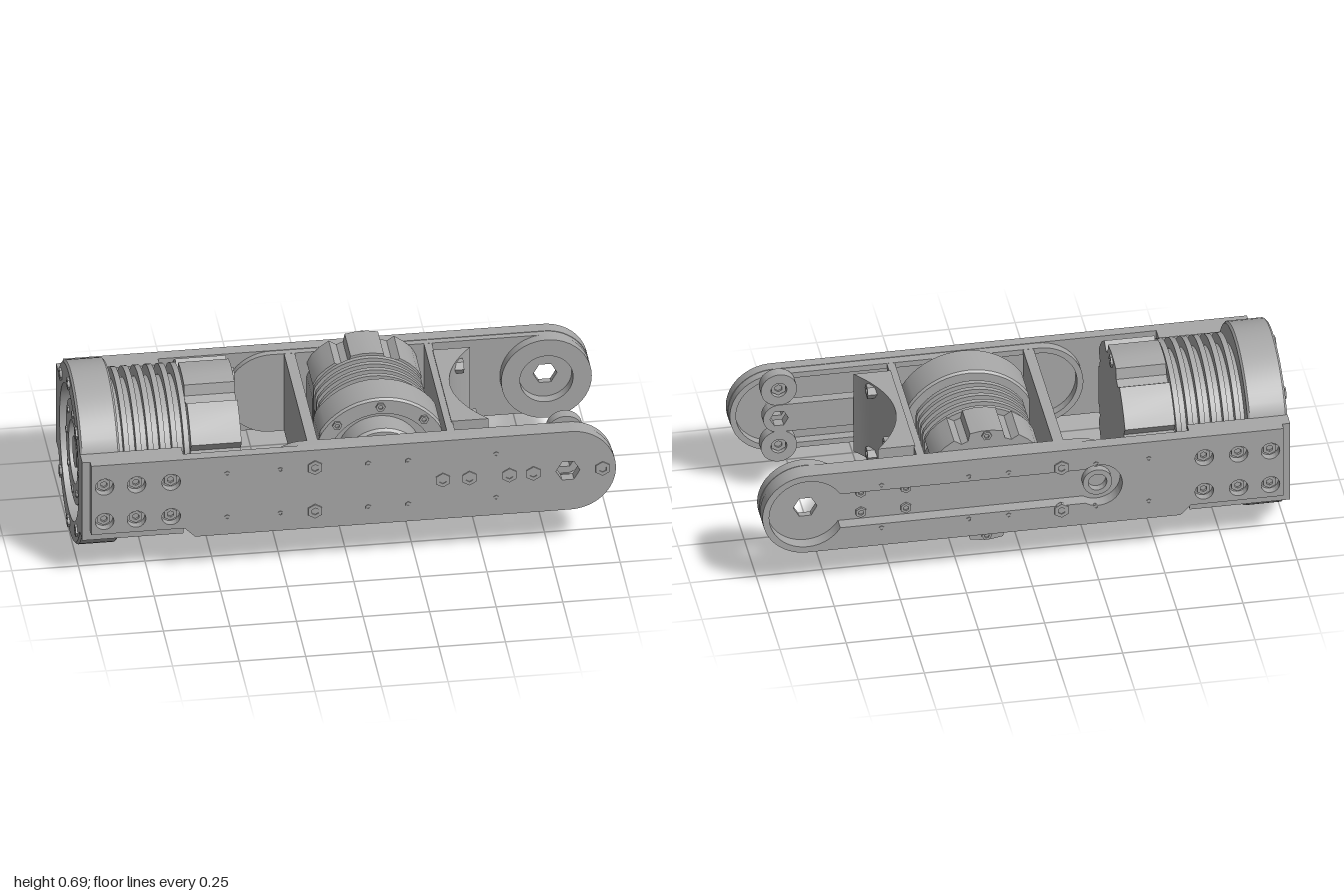
import * as THREE from 'three';
import { toCreasedNormals } from 'three/addons/utils/BufferGeometryUtils.js';

const grey = new THREE.MeshStandardMaterial({ color: 0xa8a8a8 });
grey.name = 'machined grey';
const CY = 0.345; // height of the main axis
const V = (x, y) => new THREE.Vector2(x, y);

function add(parent, name, geo, crease = 0.6) {
  const mesh = new THREE.Mesh(toCreasedNormals(geo, crease), grey);
  mesh.name = name;
  parent.add(mesh);
  return mesh;
}

// Turned part about y, with both z sides milled flat
function turned(points, flat = 9, segments = 56) {
  const geo = new THREE.LatheGeometry(points.map(p => V(...p)), segments);
  const p = geo.attributes.position;
  for (let i = 0; i < p.count; i++) p.setZ(i, THREE.MathUtils.clamp(p.getZ(i), -flat, flat));
  return geo;
}

// Hex bolt with a socket, pointing along dir
function bolt(parent, r, h, pos, dir) {
  const geo = turned([[r, -0.01], [r, h], [r * 0.5, h], [r * 0.5, h * 0.2], [0, h * 0.2]], 9, 6);
  const mesh = add(parent, 'bolt', geo, 0.3);
  mesh.position.set(...pos);
  mesh.quaternion.setFromUnitVectors(new THREE.Vector3(0, 1, 0), new THREE.Vector3(...dir));
}

function slab(parent, name, shape, z0, z1) {
  const geo = new THREE.ExtrudeGeometry(shape, { depth: z1 - z0, bevelEnabled: false, curveSegments: 24 });
  return add(parent, name, geo.translate(0, 0, z0));
}

const hole = (x, y, r) => new THREE.Path().absarc(x, y, r, 0, Math.PI * 2, true);
const hexHole = (x, y, r) => new THREE.Path(
  Array.from({ length: 6 }, (_, i) => V(x + r * Math.cos(i * Math.PI / 3), y + r * Math.sin(i * Math.PI / 3))));

// Straight bar with round ends
function capsule(x0, x1, r, Type = THREE.Shape) {
  return new Type().absarc(x1, CY, r, -Math.PI / 2, Math.PI / 2, false)
    .absarc(x0, CY, r, Math.PI / 2, Math.PI * 1.5, false);
}

// Motor along +y, output face at y = 0
function motor(name, R, flat, flange, fins, cap) {
  const g = new THREE.Group();
  g.name = name;
  const k = R / 0.345;
  add(g, 'outputFlange', turned([[0, 0.02], [0.06 * k, 0.02], [0.06 * k, 0.045], [0.12 * k, 0.045],
    [0.12 * k, 0.015], [0.2 * k, 0.015], [0.2 * k, 0.05], [0.26 * k, 0.05], [0.26 * k, 0],
    [R - 0.008, 0], [R, 0.008], [R, flange - 0.008], [R - 0.008, flange], [0, flange]], flat + 0.025));
  for (let i = 0; i < 8; i++) {
    const a = i * Math.PI / 4;
    const z = Math.sin(a) * R * 0.87;
    if (Math.abs(z) < flat) bolt(g, 0.024 * k, 0.008, [Math.cos(a) * R * 0.87, 0, z], [0, -1, 0]);
    bolt(g, 0.014 * k, 0.006, [Math.cos(a) * R * 0.47, 0.015, Math.sin(a) * R * 0.47], [0, -1, 0]);
  }

  // Cooling fins
  const core = R * 0.77, rim = R * 0.89, n = Math.round(fins / 0.042), pitch = fins / n;
  const profile = [[core, flange - 0.01]];
  for (let i = 0; i < n; i++) {
    const y = flange + i * pitch;
    profile.push([core, y + pitch * 0.45], [rim, y + pitch * 0.45], [rim, y + pitch * 0.9], [core, y + pitch * 0.9]);
  }
  const end = flange + fins + cap;
  profile.push([core, end - 0.012], [0, end - 0.012]);
  add(g, 'coolingFins', turned(profile, flat));

  // Notched rear cap
  const pts = [];
  for (let i = 0; i < 8; i++) {
    for (const [t, r] of [[-0.42, 0.81], [-0.33, 0.92], [-0.11, 0.92], [0.11, 0.92], [0.33, 0.92], [0.42, 0.81]]) {
      const a = (i + t) * Math.PI / 4;
      pts.push(V(Math.cos(a) * r * R, THREE.MathUtils.clamp(Math.sin(a) * r * R, -flat, flat)));
    }
  }
  const capGeo = new THREE.ExtrudeGeometry(new THREE.Shape(pts), { depth: cap, bevelEnabled: false });
  add(g, 'rearCap', capGeo.rotateX(-Math.PI / 2).translate(0, flange + fins, 0));
  for (const s of [-1, 1]) bolt(g, 0.025 * k, 0.008, [s * R * 0.84, end, 0], [0, 1, 0]);
  return g;
}

function plateOutline() {
  const s = new THREE.Shape();
  s.moveTo(-0.97, 0.215).lineTo(-0.62, 0.215).lineTo(-0.58, 0.175).lineTo(0.83, 0.175);
  s.absarc(0.83, CY, 0.17, -Math.PI / 2, Math.PI / 2, false);
  s.lineTo(-0.97, 0.515);
  return s;
}

// Details shared by both side plates; s is the side in z
function mountDetails(g, s) {
  const pad = add(g, 'mountingPad', new THREE.BoxGeometry(0.38, 0.34, 0.06));
  pad.position.set(-0.81, CY, s * 0.325);
  for (const x of [-0.92, -0.8, -0.67])
    for (const y of [0.27, 0.42]) bolt(g, 0.027, 0.012, [x, y, s * 0.355], [0, 0, s]);
  for (const x of [-0.46, -0.26, 0.07, 0.22, 0.55])
    for (const y of [0.25, 0.44]) bolt(g, 0.011, 0.003, [x, y, s * 0.385], [0, 0, s]);
  for (const y of [0.25, 0.44]) bolt(g, 0.03, 0.006, [-0.13, y, s * 0.385], [0, 0, s]);
}
const mountHoles = () => [-0.92, -0.8, -0.67].flatMap(x => [0.27, 0.42].map(y => hole(x, y, 0.035)));

export function createModel() {
  const model = new THREE.Group();
  model.name = 'robotArmLink';

  // Large motor along x, small motor along z
  const big = motor('largeMotor', 0.345, 0.28, 0.15, 0.27, 0.19);
  big.rotation.z = -Math.PI / 2;
  big.position.set(-1, CY, 0);
  model.add(big);

  const small = motor('smallMotor', 0.265, 0.205, 0.15, 0.21, 0.16);
  small.applyMatrix4(new THREE.Matrix4().makeBasis(
    new THREE.Vector3(0, -1, 0), new THREE.Vector3(0, 0, -1), new THREE.Vector3(1, 0, 0))
    .setPosition(0.14, CY, 0.21));
  add(small, 'outputHub', turned([[0, -0.05], [0.15, -0.05], [0.16, -0.04], [0.16, 0.05], [0, 0.05]]));
  model.add(small);

  // Front side plate with inner rim
  const front = new THREE.Group();
  front.name = 'frontSidePlate';
  const skin = plateOutline();
  skin.holes.push(...mountHoles(), hexHole(0.82, CY, 0.045));
  slab(front, 'frontSkin', skin, 0.345, 0.385);
  const rim = capsule(-0.17, 0.83, 0.168);
  rim.holes.push(capsule(-0.17, 0.83, 0.145, THREE.Path));
  slab(front, 'frontRim', rim, 0.31, 0.345);
  mountDetails(front, 1);
  for (const x of [0.35, 0.45, 0.6, 0.69, 0.95]) bolt(front, 0.03, 0.005, [x, CY, 0.385], [0, 0, 1]);
  model.add(front);

  // Rear side plate: keyhole recess outside, round joint boss inside
  const rear = new THREE.Group();
  rear.name = 'rearSidePlate';
  const outer = plateOutline();
  const big0 = Math.PI - Math.asin(0.075 / 0.145), small0 = Math.asin(0.075 / 0.09);
  outer.holes.push(...mountHoles(), new THREE.Path()
    .absarc(0.83, CY, 0.145, -big0, big0, false)
    .absarc(-0.27, CY, 0.09, small0, Math.PI * 2 - small0, false));
  slab(rear, 'rearSkin', outer, -0.385, -0.335);
  const floor = capsule(-0.2, 0.83, 0.168);
  floor.holes.push(hexHole(0.83, CY, 0.045));
  slab(rear, 'recessFloor', floor, -0.335, -0.31);
  const boss = new THREE.Shape().absarc(0.83, CY, 0.17, 0, Math.PI * 2, false);
  boss.holes.push(hole(0.83, CY, 0.1));
  slab(rear, 'jointBoss', boss, -0.31, -0.27);
  mountDetails(rear, -1);
  add(rear, 'pivotRing', turned([[0.035, 0], [0.055, 0], [0.055, 0.03], [0.035, 0.03], [0.035, 0]])
    .rotateX(Math.PI / 2).translate(-0.27, CY, -0.365));
  for (const x of [0.45, 0.62])
    for (const y of [0.3, 0.39]) bolt(rear, 0.022, 0.01, [x, y, -0.335], [0, 0, -1]);
  model.add(rear);

  // Drive link from the small motor to the end joint
  const link = new THREE.Group();
  link.name = 'driveLink';
  const bar = capsule(0.15, 0.82, 0.06);
  bar.holes.push(hexHole(0.82, CY, 0.035));
  slab(link, 'linkBar', bar, 0.265, 0.305);
  for (const s of [-1, 1]) {
    const y = CY + s * 0.125;
    const lobe = new THREE.Shape().absarc(0.82, y, 0.068, 0, Math.PI * 2, false);
    lobe.holes.push(hole(0.82, y, 0.03));
    slab(link, 'linkLobe', lobe, 0.268, 0.312);
    bolt(link, 0.03, 0.01, [0.82, y, 0.29], [0, 0, -1]);
  }
  model.add(link);

  // Cross brace and hollowed saddle between the plates
  const brace = add(model, 'crossBrace', new THREE.BoxGeometry(0.04, 0.335, 0.62));
  brace.position.set(-0.13, CY, 0);
  const web = add(model, 'saddleWeb', new THREE.BoxGeometry(0.03, 0.335, 0.62));
  web.position.set(0.39, CY, 0);
  const saddle = new THREE.Shape().moveTo(0.4, -0.255).lineTo(0.54, -0.255);
  saddle.quadraticCurveTo(0.32, 0, 0.54, 0.255).lineTo(0.4, 0.255);
  const saddleGeo = new THREE.ExtrudeGeometry(saddle, { depth: 0.345, bevelEnabled: false, curveSegments: 24 });
  add(model, 'saddle', saddleGeo.rotateX(Math.PI / 2).translate(0, 0.517, 0));
  for (const z of [-0.18, 0.18])
    for (const y of [0.205, 0.485]) bolt(model, 0.028, 0.03, [0.475, y, z], [1, 0, 0]);

  return model;
}
